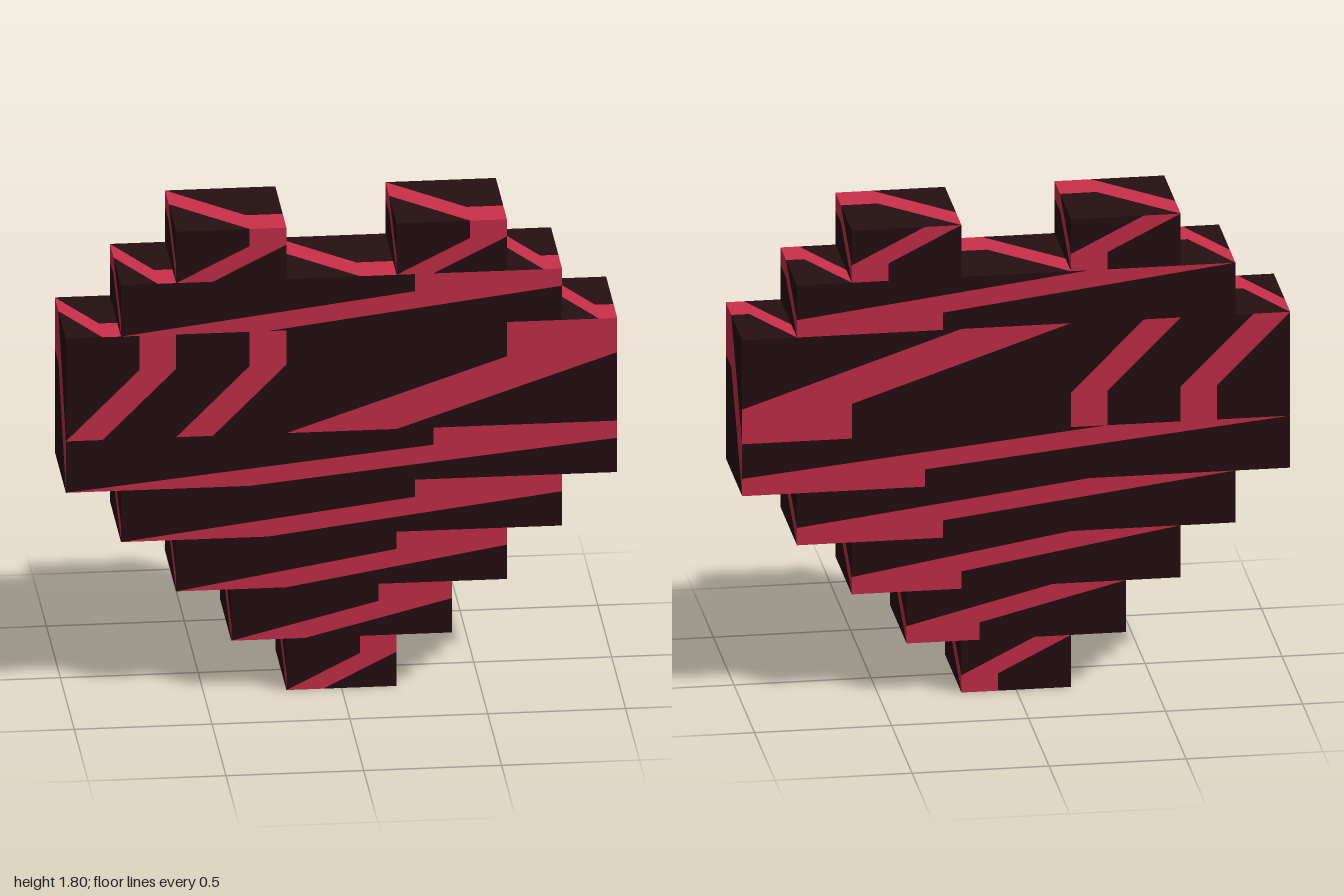
import * as THREE from 'three';

const red = new THREE.MeshStandardMaterial({ color: 0xcc304b });
red.name = 'crimson';
const dark = new THREE.MeshStandardMaterial({ color: 0x260f11 });
dark.name = 'blackish maroon';

const Z = 0.2; // half depth

// Panel pattern in (s, t): a slanted band under the diagonal, a corner wedge, dark elsewhere
const T = 1 / 3;
const RED = [
  [[0, 0], [T, 0], [1, 2 * T], [1, 1]],
  [[2 * T, 2 * T], [1, 1], [2 * T, 1]],
];
const DARK = [
  [[T, 0], [1, 0], [1, 2 * T]],
  [[0, 0], [2 * T, 2 * T], [2 * T, 1], [0, 1]],
];

// One mesh of flat polygons laid over panels given by corners d, a, c
function patternMesh(name, panels, polygons, material) {
  const pos = [];
  for (const [d, a, c] of panels) {
    const at = ([s, t]) => d.map((v, i) => v + s * (a[i] - v) + t * (c[i] - a[i]));
    for (const poly of polygons) {
      for (let i = 1; i < poly.length - 1; i++) {
        pos.push(...at(poly[0]), ...at(poly[i]), ...at(poly[i + 1]));
      }
    }
  }
  const geo = new THREE.BufferGeometry();
  geo.setAttribute('position', new THREE.Float32BufferAttribute(pos, 3));
  geo.computeVertexNormals();
  const mesh = new THREE.Mesh(geo, material);
  mesh.name = name;
  return mesh;
}

function side(name, panels) {
  const group = new THREE.Group();
  group.name = name;
  group.add(patternMesh(name + 'Bands', panels, RED, red));
  group.add(patternMesh(name + 'Base', panels, DARK, dark));
  return group;
}

export function createModel() {
  const model = new THREE.Group();
  model.name = 'blockHeart';

  // Heart face as rectangles: x0, x1, y0, y1
  const face = [
    [-0.2, 0.2, 0, 0.2], [-0.4, 0.4, 0.2, 0.4], [-0.6, 0.6, 0.4, 0.6],
    [-0.8, 0.8, 0.6, 0.8], [-1, 1, 0.8, 1],
    [-1, -0.6, 1, 1.4], [-0.6, -0.2, 1, 1.4], [-0.2, 1, 1, 1.4],
    [-0.8, 0.8, 1.4, 1.6], [-0.6, -0.2, 1.6, 1.8], [0.2, 0.6, 1.6, 1.8],
  ];
  // Walls facing outward on each flank: distance from centre, y0, y1
  const walls = [
    [0.2, 0, 0.2], [0.4, 0.2, 0.4], [0.6, 0.4, 0.6], [0.8, 0.6, 0.8],
    [1, 0.8, 1.4], [0.8, 1.4, 1.6], [0.6, 1.6, 1.8],
  ];
  const notch = [-0.2, 1.6, 1.8]; // inner wall between the lobes
  // Upward and downward steps: x0, x1, y
  const mirror = (list) => list.flatMap(([a, b, y]) => [[a, b, y], [-b, -a, y]]);
  const tops = [[-0.2, 0.2, 1.6], ...mirror([[0.2, 0.6, 1.8], [0.6, 0.8, 1.6], [0.8, 1, 1.4]])];
  const bottoms = [[-0.2, 0.2, 0],
    ...mirror([[0.2, 0.4, 0.2], [0.4, 0.6, 0.4], [0.6, 0.8, 0.6], [0.8, 1, 0.8]])];

  model.add(side('front', face.map(([x0, x1, y0, y1]) =>
    [[x0, y0, Z], [x1, y0, Z], [x1, y1, Z]])));
  model.add(side('back', face.map(([x0, x1, y0, y1]) =>
    [[x0, y1, -Z], [x1, y1, -Z], [x1, y0, -Z]])));

  // Flanks, each a half turn of the other
  for (const [name, k] of [['leftFlank', 1], ['rightFlank', -1]]) {
    model.add(side(name, [...walls, notch].map(([x, y0, y1]) =>
      [[k * x, y0, -k * Z], [k * x, y1, -k * Z], [k * x, y1, k * Z]])));
  }

  model.add(side('topSteps', tops.map(([x0, x1, y]) =>
    [[x0, y, -Z], [x0, y, Z], [x1, y, Z]])));
  model.add(side('bottomSteps', bottoms.map(([x0, x1, y]) =>
    [[x0, y, Z], [x0, y, -Z], [x1, y, -Z]])));

  return model;
}
